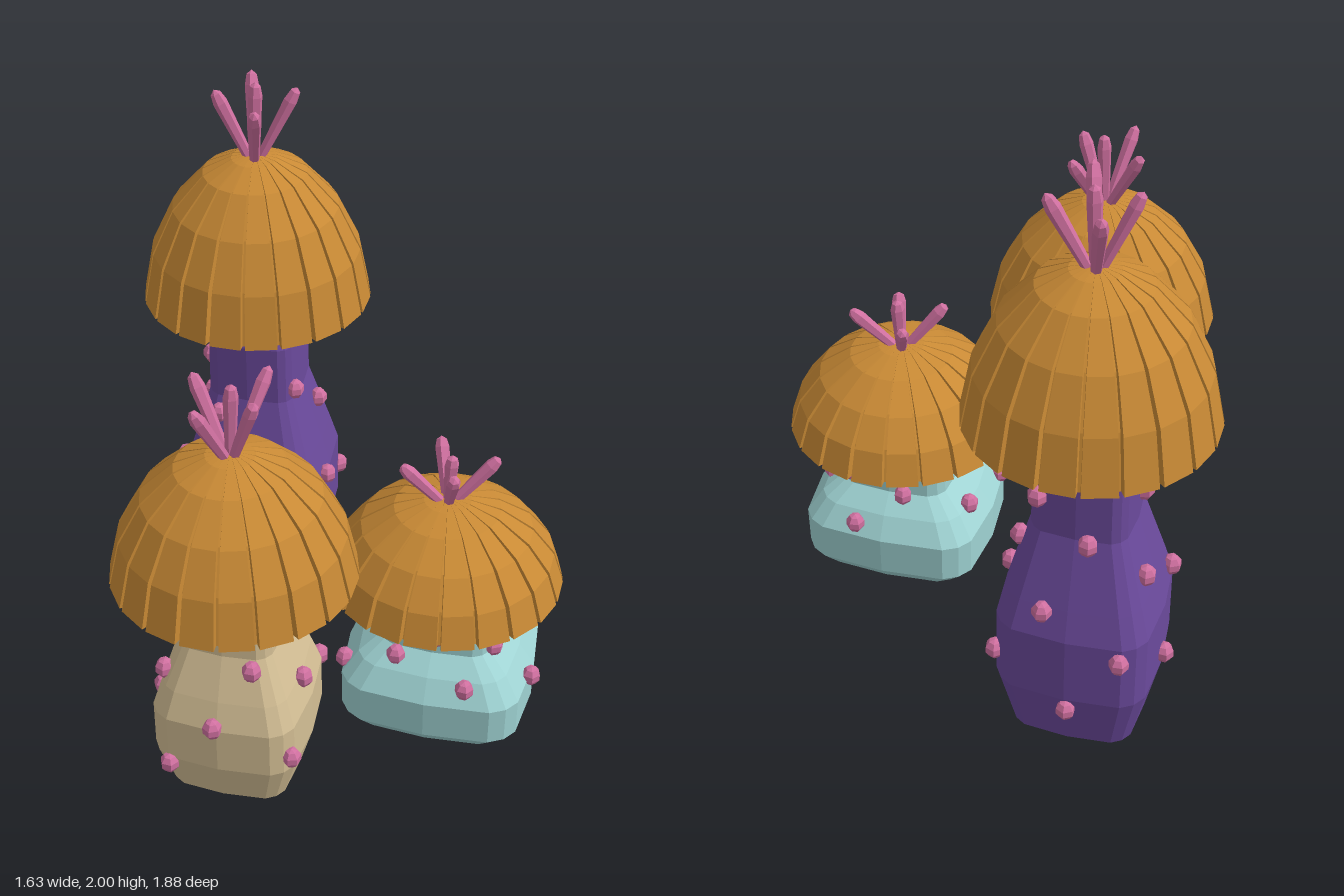
import * as THREE from 'three';

const mat = (color) => new THREE.MeshStandardMaterial({ color, flatShading: true });
const ORANGE = mat(0xc98a35), PINK = mat(0xd070a0);
const RAD = Math.PI / 180, GOLDEN_ANGLE = 137.5;

// Closed skin over stacked rings; each ring is a list of [x, y, z]
function loft(rings) {
  const n = rings[0].length, pos = rings.flat(2), idx = [];
  const last = rings.length - 1;
  for (let r = 0; r < last; r++) {
    for (let i = 0; i < n; i++) {
      const j = (i + 1) % n;
      const a = r * n + i, b = r * n + j, c = a + n, d = b + n;
      idx.push(a, c, b, b, c, d);
    }
  }
  const bottom = pos.length / 3, top = bottom + 1;
  pos.push(0, rings[0][0][1], 0, 0, rings[last][0][1], 0);
  for (let i = 0; i < n; i++) {
    const j = (i + 1) % n;
    idx.push(bottom, i, j, top, last * n + j, last * n + i);
  }
  const g = new THREE.BufferGeometry();
  g.setAttribute('position', new THREE.Float32BufferAttribute(pos, 3));
  g.setIndex(idx);
  g.computeVertexNormals();
  return g;
}

function add(parent, name, geometry, material) {
  const m = new THREE.Mesh(geometry, material);
  m.name = name;
  parent.add(m);
  return m;
}

// Radius factor of the rounded-square cross-section
const squareness = (a) => (Math.cos(a) ** 4 + Math.sin(a) ** 4) ** -0.25;

// Profile points are [half-width, height]
function stemGeometry(profile, sx) {
  const angles = [];
  for (let q = 0; q < 4; q++) for (const d of [0, 36, 45, 54]) angles.push((q * 90 + d) * RAD);
  return loft(profile.map(([r, y]) => angles.map((a) => {
    const k = r * squareness(a);
    return [k * Math.cos(a) * sx, y, k * Math.sin(a)];
  })));
}

// Half-width of a stem at height y
function widthAt(profile, y) {
  const i = Math.max(1, profile.findIndex((p) => p[1] >= y));
  const [r0, y0] = profile[i - 1], [r1, y1] = profile[i];
  return r0 + (r1 - r0) * (y - y0) / (y1 - y0);
}

// Domed cap with twenty flat ribs and narrow grooves between them
function capGeometry(base, height) {
  const dome = [[0, 0.403], [0.35, 0.366], [0.65, 0.29], [0.88, 0.18], [0.975, 0.08], [1, 0.015]];
  return loft(dome.map(([t, r]) => {
    const ring = [];
    for (let k = 0; k < 20; k++) {
      for (const [d, f] of [[-7.9, 1], [7.9, 1], [8.3, 0.93], [9.7, 0.93]]) {
        const a = (k * 18 + d) * RAD;
        ring.push([r * f * Math.cos(a), base + height * t, r * f * Math.sin(a)]);
      }
    }
    return ring;
  }));
}

// Six-sided finger with a blunt tip, leaning outwards from the crown
function addFinger(parent, capTop, deg, reach, rise) {
  const x = reach * Math.cos(deg * RAD), z = reach * Math.sin(deg * RAD);
  const base = new THREE.Vector3(x * 0.12, capTop - 0.02, z * 0.12);
  const dir = new THREE.Vector3(x, capTop + rise, z).sub(base);
  const len = dir.length();
  const pts = [[0, 0], [0.017, 0], [0.025, 0.82], [0.018, 0.95], [0, 1]]
    .map(([r, t]) => new THREE.Vector2(r, t * len));
  const m = add(parent, 'finger', new THREE.LatheGeometry(pts, 6), PINK);
  m.position.copy(base);
  m.quaternion.setFromUnitVectors(new THREE.Vector3(0, 1, 0), dir.normalize());
}

function makeMushroom({ name, at, color, sx, cap, stem, tuft, bumps }) {
  const g = new THREE.Group();
  g.name = name;
  g.position.set(at[0], 0, at[1]);

  add(g, 'stem', stemGeometry(stem, sx), mat(color));
  add(g, 'cap', capGeometry(...cap), ORANGE);

  // Pinwheel of four leaning fingers around an upright one
  const crown = new THREE.Group();
  crown.name = 'tuft';
  const capTop = cap[0] + cap[1];
  tuft.reach.forEach((reach, i) => addFinger(crown, capTop, tuft.turn + i * 90, reach, tuft.rise));
  addFinger(crown, capTop, 0, 0.01, tuft.rise + 0.025);
  g.add(crown);

  // Bumps spiralling up the stem
  for (let i = 0; i < bumps.count; i++) {
    const y = bumps.low + (bumps.high - bumps.low) * i / (bumps.count - 1);
    const a = (bumps.turn + i * GOLDEN_ANGLE) * RAD;
    const r = widthAt(stem, y) * squareness(a) + 0.008;
    const b = add(g, 'bump', new THREE.SphereGeometry(0.034, 6, 5), PINK);
    b.position.set(r * Math.cos(a) * sx, y, r * Math.sin(a));
    b.scale.y = 1.1;
    b.rotation.y = -a;
  }
  return g;
}

export function createModel() {
  const model = new THREE.Group();
  model.name = 'mushroomCluster';

  model.add(makeMushroom({
    name: 'tallMushroom', at: [-0.415, -0.54], color: 0x6b4a9c, sx: 1, cap: [1.19, 0.54],
    stem: [[0.215, 0], [0.265, 0.22], [0.265, 0.47], [0.235, 0.58], [0.165, 0.82],
      [0.163, 1.04], [0.14, 1.11], [0.12, 1.12], [0.145, 1.2]],
    tuft: { turn: -108, reach: [0.15, 0.15, 0.19, 0.13], rise: 0.24 },
    bumps: { count: 18, turn: 131, low: 0.13, high: 0.96 },
  }));

  model.add(makeMushroom({
    name: 'middleMushroom', at: [-0.185, 0.54], color: 0xd4bf95, sx: 1, cap: [0.815, 0.465],
    stem: [[0.21, 0], [0.257, 0.16], [0.257, 0.33], [0.225, 0.43], [0.165, 0.58],
      [0.16, 0.77], [0.125, 0.79], [0.14, 0.84]],
    tuft: { turn: -153, reach: [0.155, 0.185, 0.11, 0.155], rise: 0.225 },
    bumps: { count: 11, turn: 125, low: 0.14, high: 0.55 },
  }));

  model.add(makeMushroom({
    name: 'shortMushroom', at: [0.415, 0.07], color: 0x9fd3d3, sx: 1.1, cap: [0.545, 0.325],
    stem: [[0.25, 0], [0.298, 0.06], [0.3, 0.2], [0.25, 0.28], [0.185, 0.34],
      [0.182, 0.48], [0.155, 0.5], [0.175, 0.57]],
    tuft: { turn: -112, reach: [0.15, 0.17, 0.095, 0.16], rise: 0.145 },
    bumps: { count: 12, turn: 13, low: 0.21, high: 0.42 },
  }));

  return model;
}
